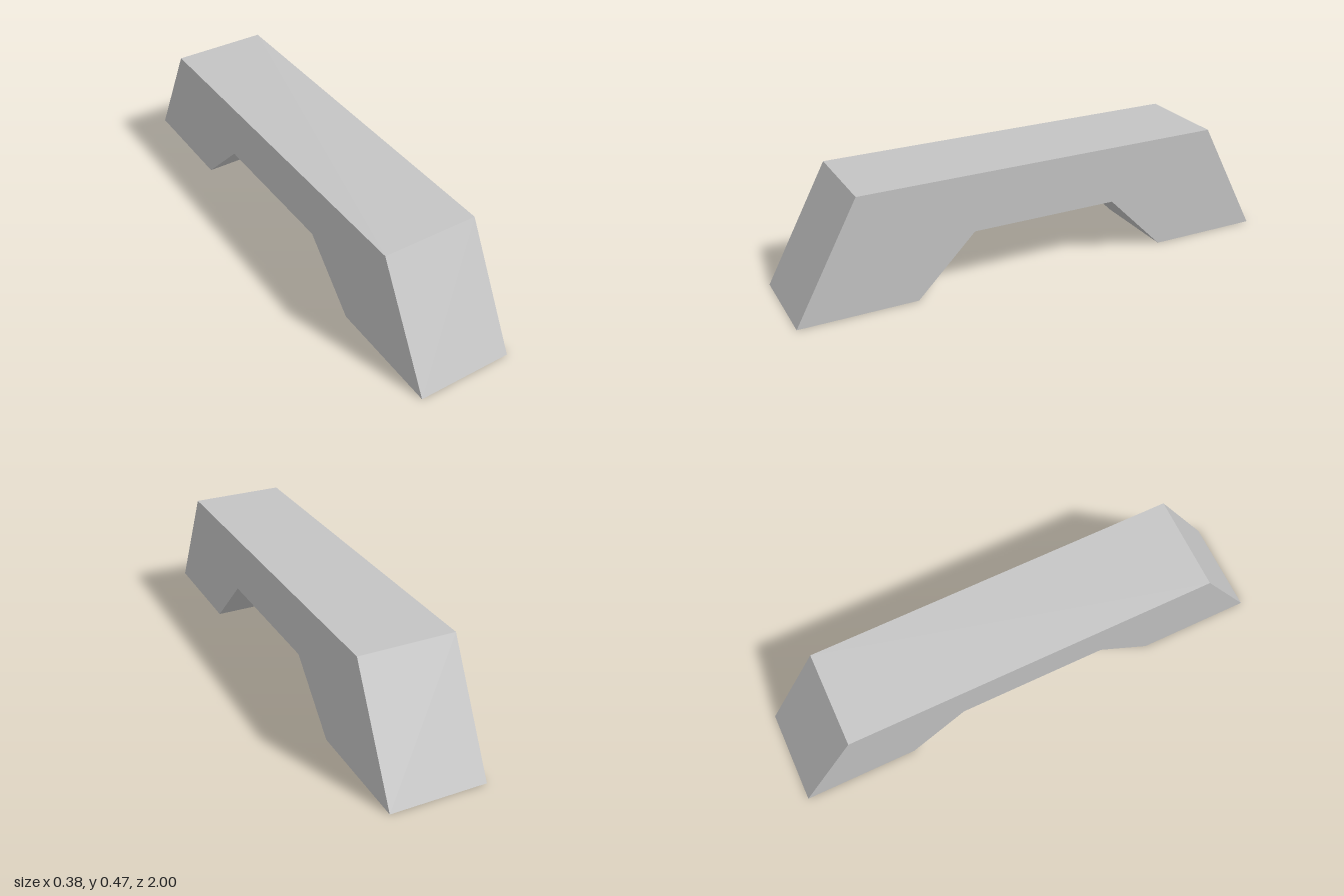
import * as THREE from 'three';

const WIDTH = 0.38;

export function createModel() {
  const lightGrey = new THREE.MeshStandardMaterial({ color: 0xc4c4c4 });
  lightGrey.name = 'lightGrey';

  // Half of the side profile (distance from the middle, height), mirrored below
  const half = [[0.3, 0.235], [0.535, 0], [1, 0], [0.75, 0.465]];
  const mirrored = half.map(([z, y]) => [-z, y]).reverse();
  const outline = [...half, ...mirrored].map(([z, y]) => new THREE.Vector2(z, y));

  // Extrude across the width, then turn the length onto z
  const geometry = new THREE.ExtrudeGeometry(new THREE.Shape(outline), {
    depth: WIDTH,
    bevelEnabled: false,
  });
  geometry.translate(0, 0, -WIDTH / 2);
  geometry.rotateY(-Math.PI / 2);

  const bridge = new THREE.Mesh(geometry, lightGrey);
  bridge.name = 'bridgeBlock';

  const model = new THREE.Group();
  model.name = 'bridge';
  model.add(bridge);
  return model;
}
